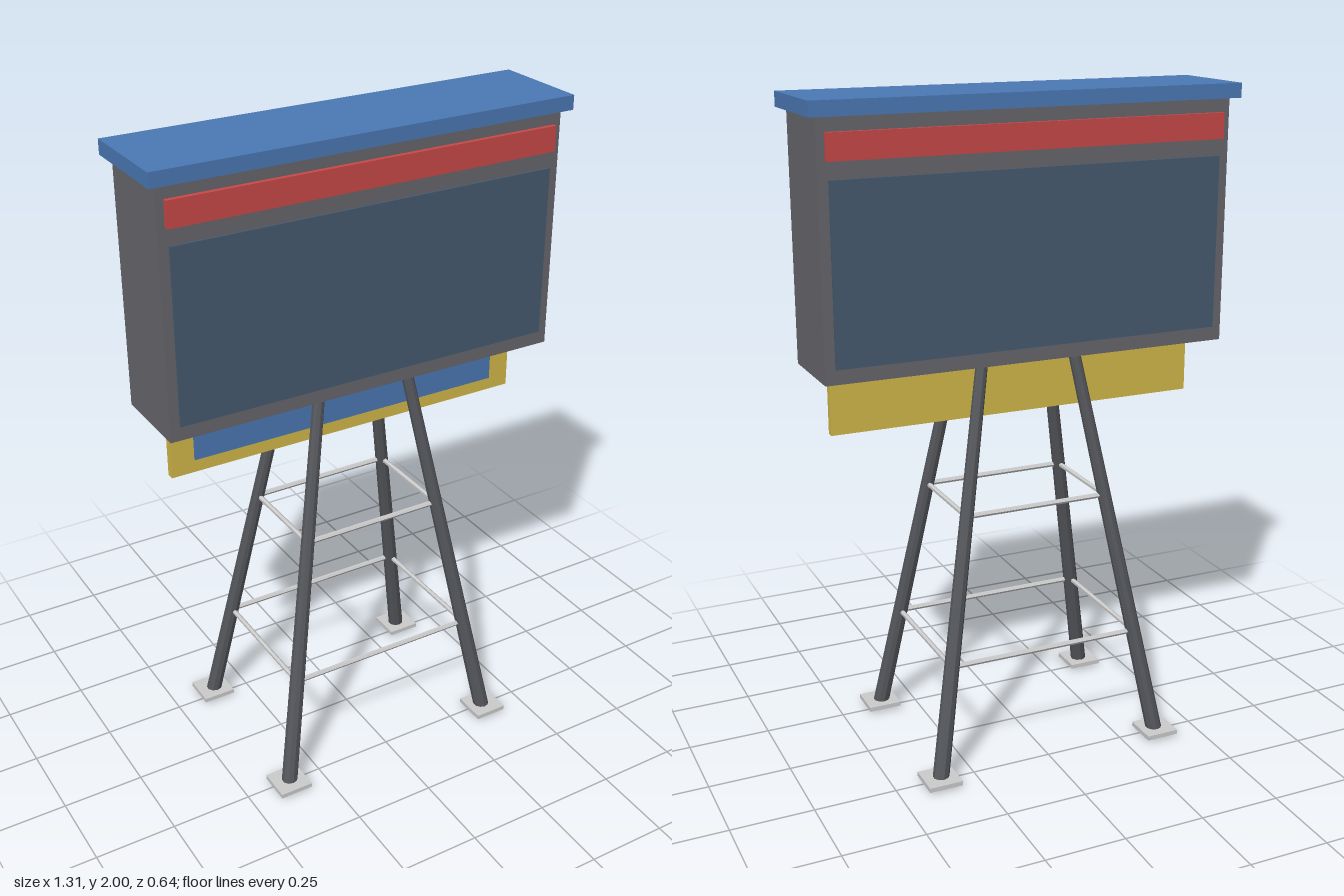
import * as THREE from 'three';

const mat = (color) => new THREE.MeshStandardMaterial({ color, flatShading: true });

export function createModel() {
  const model = new THREE.Group();
  const steel = mat(0xcccccc), dark = mat(0x55575c), cabinetGrey = mat(0x66666c);
  const blue = mat(0x4a78b5), red = mat(0xc84848), yellow = mat(0xd2b84a), glass = mat(0x465a6e);

  // Box given by its width, bottom, top and z range
  function box(name, material, w, y0, y1, z0, z1, x = 0) {
    const mesh = new THREE.Mesh(new THREE.BoxGeometry(w, y1 - y0, z1 - z0), material);
    mesh.position.set(x, (y0 + y1) / 2, (z0 + z1) / 2);
    mesh.name = name;
    model.add(mesh);
  }

  // Round bar from a to b
  function bar(name, material, a, b, rA, rB, sides) {
    const dir = b.clone().sub(a);
    const mesh = new THREE.Mesh(new THREE.CylinderGeometry(rB, rA, dir.length(), sides), material);
    mesh.position.copy(a).add(b).multiplyScalar(0.5);
    mesh.quaternion.setFromUnitVectors(new THREE.Vector3(0, 1, 0), dir.normalize());
    mesh.name = name;
    model.add(mesh);
  }

  // Cabinet and roof
  box('cabinet', cabinetGrey, 1.26, 1.228, 1.957, -0.132, 0.132);
  box('roof', blue, 1.31, 1.957, 2, -0.156, 0.156);

  // Screen and header strip on both faces
  for (const s of [1, -1]) {
    const near = s > 0 ? 0.12 : -0.139, nearStrip = s > 0 ? 0.12 : -0.146;
    box('screen', glass, 1.2, 1.272, 1.79, near, near + 0.019);
    box('headerStrip', red, 1.214, 1.84, 1.916, nearStrip, nearStrip + 0.026);
  }

  // Hanging lower sign with a front inset panel
  box('lowerSign', yellow, 1.164, 1.043, 1.215, -0.012, 0.012);
  box('lowerSignPanel', blue, 1.02, 1.085, 1.172, 0.01, 0.019);

  // Splayed tapered legs with foot plates
  const foot = new THREE.Vector3(0.365, 0.004, 0.267), head = new THREE.Vector3(0.148, 1.235, 0.096);
  const corner = (v, sx, sz) => new THREE.Vector3(v.x * sx, v.y, v.z * sz);
  for (const sx of [1, -1]) for (const sz of [1, -1]) {
    bar('leg', dark, corner(foot, sx, sz), corner(head, sx, sz), 0.025, 0.018, 10);
    box('footPlate', steel, 0.104, 0.008, 0.022, sz * 0.267 - 0.052, sz * 0.267 + 0.052, sx * 0.366);
  }

  // Two rings of braces between the legs
  for (const y of [0.348, 0.79]) {
    const p = foot.clone().lerp(head, (y - foot.y) / (head.y - foot.y));
    for (const s of [1, -1]) {
      bar('longBrace', steel, corner(p, -1, s), corner(p, 1, s), 0.008, 0.008, 6);
      bar('sideBrace', steel, corner(p, s, -1), corner(p, s, 1), 0.008, 0.008, 6);
    }
  }
  return model;
}
